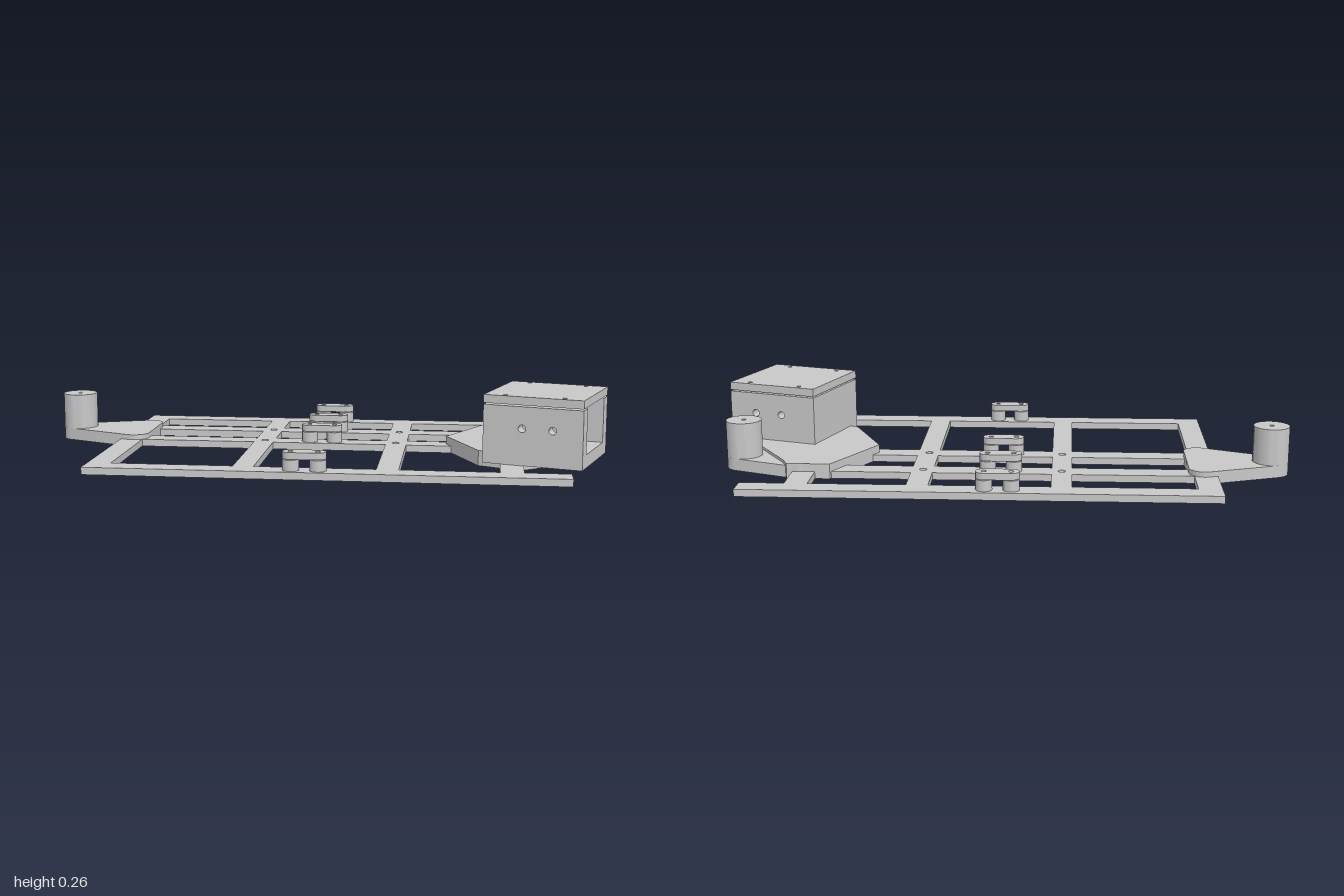
import * as THREE from 'three';
import { toCreasedNormals } from 'three/addons/utils/BufferGeometryUtils.js';

const grey = new THREE.MeshStandardMaterial({ color: 0xc8c8c8 });
grey.name = 'plain grey';

function add(parent, geometry, name) {
  const mesh = new THREE.Mesh(geometry, grey);
  mesh.name = name;
  parent.add(mesh);
  return mesh;
}

const circle = (x, y, r) => new THREE.Path().absarc(x, y, r, 0, Math.PI * 2, true);
const rect = (x0, x1, z0, z1) => [[x0, z0], [x1, z0], [x1, z1], [x0, z1]];
// (x, z) outlines to counter-clockwise shape points
const toPoints = (pts) => pts.map(([x, z]) => new THREE.Vector2(x, -z)).reverse();

// Horizontal slab from an (x, z) outline; holes are circles [x, z, r], windows are outlines
function slab(parent, name, outline, y0, y1, holes = [], windows = []) {
  const shape = new THREE.Shape(toPoints(outline));
  holes.forEach(([x, z, r]) => shape.holes.push(circle(x, -z, r)));
  windows.forEach((w) => shape.holes.push(new THREE.Path(toPoints(w).reverse())));
  const geo = new THREE.ExtrudeGeometry(shape, { depth: y1 - y0, bevelEnabled: false, curveSegments: 10 });
  geo.rotateX(-Math.PI / 2).translate(0, y0, 0);
  return add(parent, toCreasedNormals(geo, 0.6), name);
}

// Outline wrapped tightly around several circles [x, z, r]
function wrap(circles, steps = 72) {
  const out = [];
  for (let i = 0; i < steps; i++) {
    const a = ((i + 0.5) / steps) * Math.PI * 2, c = Math.cos(a), s = Math.sin(a);
    const reach = ([x, z, r]) => x * c + z * s + r;
    const [x, z, r] = circles.reduce((p, q) => (reach(q) > reach(p) ? q : p));
    out.push([x + r * c, z + r * s]);
  }
  return out;
}

const T = 0.025; // frame thickness

// Ladder frame: four rails, four crossbars, windows between them
function buildFrame(root, holes) {
  const outline = [[-0.745, -0.512], [0.862, -0.512], [0.862, -0.433], [0.71, -0.433],
    [0.71, 0.432], [0.862, 0.432], [0.862, 0.512], [-0.745, 0.512]];
  const windows = [];
  for (const [x0, x1] of [[-0.665, -0.25], [-0.18, 0.228], [0.302, 0.632]])
    for (const [z0, z1] of [[-0.433, -0.288], [-0.208, -0.073], [0.005, 0.432]])
      windows.push(rect(x0, x1, z0, z1));
  slab(root, 'frame', outline, 0, T, holes, windows);
}

// Bracket plate with blind screw holes underneath
function buildPlate(root, name, outline, top, holes) {
  slab(root, name + 'Lower', outline, 0, T, holes);
  slab(root, name, outline, T, top);
}

// Upright round post with a small pilot hole
function buildPost(root, name, x, z) {
  const pts = [[0, 0], [0.062, 0], [0.062, 0.17], [0.008, 0.17], [0.008, 0.12], [0, 0.12]];
  const geo = new THREE.LatheGeometry(pts.map(([r, y]) => new THREE.Vector2(r, y)), 40);
  add(root, toCreasedNormals(geo, 0.6), name).position.set(x, 0, z);
}

// Cable clip: two round feet and a rounded cap
function buildClip(root, z) {
  const clip = new THREE.Group();
  clip.name = 'clip';
  const feet = [[-0.045, 0, 0.028], [0.045, 0, 0.028]];
  const holes = feet.map(([x]) => [x, 0, 0.009]);
  feet.forEach((f, i) => slab(clip, 'clipFoot', wrap([f], 32), T, 0.0625, [holes[i]]));
  slab(clip, 'clipCap', wrap(feet, 48), 0.065, 0.088, holes);
  clip.position.set(-0.005, 0, z);
  root.add(clip);
}

// Open-ended box turned on its plate, with a separate lid
function buildBox(root) {
  const box = new THREE.Group();
  box.name = 'box';
  const h = 0.17, inner = 0.118, floorTop = 0.07, top = 0.224;
  slab(box, 'boxFloor', rect(-h, h, -h, h), T, floorTop);
  slab(box, 'boxBackWall', rect(-h, -h + 0.02, -inner, inner), floorTop, top);
  for (const side of [-1, 1]) {
    const shape = new THREE.Shape([[-h, floorTop], [h, floorTop], [h, top], [-h, top]]
      .map(([x, y]) => new THREE.Vector2(x, y)));
    for (const x of [-0.036, 0.068]) shape.holes.push(circle(x, 0.15, 0.013));
    const geo = new THREE.ExtrudeGeometry(shape, { depth: h - inner, bevelEnabled: false, curveSegments: 10 });
    geo.translate(0, 0, side > 0 ? inner : -h);
    add(box, toCreasedNormals(geo, 0.6), 'boxSideWall');
  }
  const screws = [];
  for (const x of [-0.1, 0.1]) for (const z of [-0.147, 0.147]) screws.push([x, z, 0.008]);
  slab(box, 'lid', rect(-h, h, -h, h), 0.229, 0.257, screws);
  box.position.set(0.787, 0, 0.17);
  box.rotation.y = -0.308;
  root.add(box);
}

export function createModel() {
  const root = new THREE.Group();
  root.name = 'frameAssembly';

  const rows = [-0.248, -0.033];
  const holesAt = (x) => rows.map((z) => [x, z, 0.013]);
  const leftHoles = holesAt(-0.7), rightHoles = holesAt(0.67);
  buildFrame(root, [...leftHoles, ...holesAt(-0.215), ...holesAt(0.263), ...rightHoles]);

  // End brackets and their posts
  const arm = (x, postX, postZ) => wrap([[x, -0.248, 0.05], [x, -0.033, 0.05], [postX, postZ, 0.062]]);
  buildPlate(root, 'rightEndBracket', arm(-0.698, -0.938, -0.148), 0.043, leftHoles);
  buildPost(root, 'rightEndPost', -0.938, -0.148);
  buildPlate(root, 'leftEndBracket', arm(0.69, 0.905, -0.152), 0.043, rightHoles);
  buildPost(root, 'leftEndPost', 0.905, -0.152);

  // Many-sided plate under the box
  const base = [[0.58, -0.295], [0.73, -0.295], [0.75, -0.25], [0.902, -0.015], [0.86, 0.17],
    [0.7, 0.283], [0.56, 0.215], [0.444, -0.037]];
  buildPlate(root, 'boxBase', base, 0.053, rightHoles);
  buildBox(root);

  for (const z of [-0.472, -0.248, -0.033, 0.472]) buildClip(root, z);
  return root;
}
